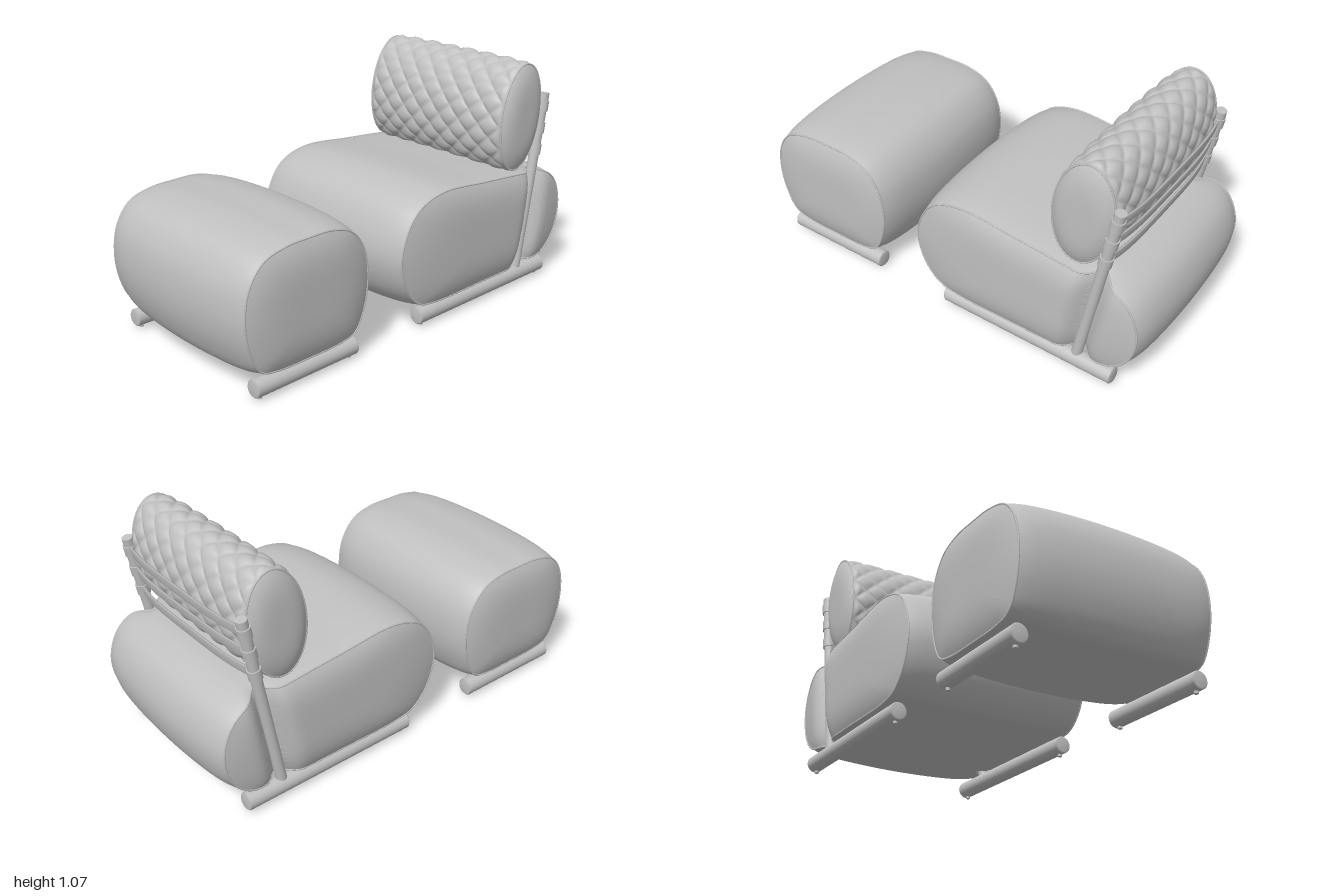
import * as THREE from 'three';

const grey = new THREE.MeshStandardMaterial({ color: 0xc0c0c0 });
grey.name = 'soft grey';

function add(parent, name, geometry) {
  const mesh = new THREE.Mesh(geometry, grey);
  mesh.name = name;
  parent.add(mesh);
  return mesh;
}

// Closed smooth outline in the z/y plane, evenly spaced, as offsets from its centre
function outline(points, count) {
  const curve = new THREE.CatmullRomCurve3(points.map(([z, y]) => new THREE.Vector3(0, y, z)), true, 'centripetal');
  curve.arcLengthDivisions = 800;
  const pts = curve.getSpacedPoints(count).slice(0, count);
  const box = new THREE.Box3().setFromPoints(pts);
  const centre = box.getCenter(new THREE.Vector3());
  return { centre, pts: pts.map(p => p.sub(centre)) };
}

// Skin a stack of rings running towards +x; point(i, j) gives each vertex
function loft(rings, count, point) {
  const pos = [], index = [];
  for (let i = 0; i < rings; i++) {
    for (let j = 0; j < count; j++) {
      pos.push(...point(i, j).toArray());
      if (i === rings - 1) continue;
      const k = (j + 1) % count;
      const a = i * count + j, b = i * count + k;
      index.push(a, a + count, b, b, a + count, b + count);
    }
  }
  const g = new THREE.BufferGeometry();
  g.setAttribute('position', new THREE.Float32BufferAttribute(pos, 3));
  g.setIndex(index);
  g.computeVertexNormals();
  return g;
}

// Padded block: bulging sleeve, two domed side panels and piping along the seams
function cushion(name, { centre, pts }, o) {
  const group = new THREE.Group();
  group.name = name;
  const n = pts.length;
  const warp = o.warp || (p => p);
  const relief = o.relief || (() => 0);
  const at = (x, sz, sy, j, grow = 0) => {
    const p = pts[j];
    const out = new THREE.Vector3(0, p.y * sy, p.z * sz);
    if (grow) out.addScaledVector(out.clone().normalize(), grow);
    return warp(out.add(centre).setX(x));
  };
  const steps = o.steps || 40;
  add(group, name + 'Sleeve', loft(steps + 1, n, (i, j) => {
    const u = -Math.cos(Math.PI * i / steps) * 0.4 + (2 * i / steps - 1) * 0.6;
    const t = Math.abs(u), k = 0.6 * t * t + 0.4 * t ** 8;
    const x = u * o.seam;
    return at(x, 1 - (1 - o.sz) * k, 1 - (1 - o.sy) * k, j, relief(x, j / n, t));
  }));
  const rings = 20;
  for (const side of [1, -1]) {
    const label = side > 0 ? 'Left' : 'Right';
    add(group, name + label + 'Panel', loft(rings + 1, n, (i, j) => {
      const s = Math.max(0.001, 1 - (side > 0 ? i : rings - i) / rings);
      return at(side * (o.seam + o.dome * (1 - s ** 4)), o.sz * s, o.sy * s, j);
    }));
    const path = new THREE.CatmullRomCurve3(pts.map((_, j) => at(side * o.seam, o.sz, o.sy, j)), true);
    add(group, name + label + 'Piping', new THREE.TubeGeometry(path, n, 0.004, 6, true));
  }
  return group;
}

// Cylinder between two points
function rod(parent, name, from, to, radius) {
  const dir = to.clone().sub(from);
  const mesh = add(parent, name, new THREE.CylinderGeometry(radius, radius, dir.length(), 24));
  mesh.position.copy(from).add(to).multiplyScalar(0.5);
  mesh.quaternion.setFromUnitVectors(new THREE.Vector3(0, 1, 0), dir.normalize());
  return mesh;
}

// Floor rail with softened ends and two small glides
function rail(parent, name, x, z0, z1) {
  const r = 0.039, h = z1 - z0;
  const profile = [[0, 0], [r - 0.006, 0], [r, 0.006], [r, h - 0.006], [r - 0.006, h], [0, h]];
  const mesh = add(parent, name, new THREE.LatheGeometry(profile.map(p => new THREE.Vector2(...p)), 32));
  mesh.rotation.x = Math.PI / 2;
  mesh.position.set(x, 0.049, z0);
  for (const z of [z0 + 0.03, z1 - 0.03]) {
    add(parent, name + 'Glide', new THREE.CylinderGeometry(0.01, 0.01, 0.02, 16)).position.set(x, 0.01, z);
  }
}

export function createModel() {
  const model = new THREE.Group();
  model.name = 'loungeChairWithOttoman';

  // Ottoman
  model.add(cushion('ottoman', outline([
    [1, 0.35], [0.975, 0.5], [0.9, 0.6], [0.77, 0.64], [0.645, 0.645], [0.5, 0.64], [0.385, 0.6], [0.31, 0.5],
    [0.285, 0.35], [0.31, 0.2], [0.365, 0.1], [0.45, 0.075], [0.645, 0.07], [0.83, 0.075], [0.92, 0.1], [0.975, 0.2],
  ], 112), { seam: 0.447, dome: 0.033, sz: 0.88, sy: 0.89 }));

  // Seat, pinched on each side where the back posts pass
  const foot = new THREE.Vector3(0, 0.08, -0.68), tip = new THREE.Vector3(0, 0.905, -0.832);
  const postZ = y => foot.z + (tip.z - foot.z) * (y - foot.y) / (tip.y - foot.y);
  const pinch = p => {
    const d = (p.z - postZ(p.y)) / 0.05;
    const edge = THREE.MathUtils.smoothstep(Math.abs(p.x), 0.3, 0.45);
    p.x *= 1 - 0.15 * edge * Math.exp(-d * d);
    if (p.z < postZ(p.y)) p.x *= 1 - 0.02 * edge;
    return p;
  };
  model.add(cushion('seat', outline([
    [0.17, 0.34], [0.143, 0.47], [0.07, 0.575], [-0.08, 0.63], [-0.4, 0.608], [-0.7, 0.578], [-0.85, 0.555],
    [-0.95, 0.485], [-1, 0.34], [-0.965, 0.18], [-0.87, 0.09], [-0.7, 0.075], [-0.4, 0.072], [-0.05, 0.075],
    [0.05, 0.1], [0.13, 0.19],
  ], 180), { seam: 0.447, dome: 0.033, sz: 0.93, sy: 0.9, warp: pinch }));

  // Quilted back cushion, leaning backwards
  const lean = 0.19, oval = [];
  for (let i = 0; i < 24; i++) {
    const a = i / 24 * Math.PI * 2;
    const d = 0.158 * Math.cos(a), h = 0.25 * Math.sin(a);
    oval.push([-0.67 + d * Math.cos(lean) - h * Math.sin(lean), 0.816 + h * Math.cos(lean) + d * Math.sin(lean)]);
  }
  const quilt = (x, v, t) => {
    const a = x / 0.115, b = v * 12;
    const puff = Math.sqrt(Math.abs(Math.sin(Math.PI * (a + b)) * Math.sin(Math.PI * (a - b))));
    return (0.014 * puff - 0.003) * (1 - THREE.MathUtils.smoothstep(t, 0.93, 1));
  };
  model.add(cushion('backCushion', outline(oval, 192),
    { seam: 0.41, dome: 0.033, sz: 0.86, sy: 0.985, steps: 130, relief: quilt }));

  // Back frame: posts with collars, joined by bowed straps
  const frame = new THREE.Group();
  frame.name = 'backFrame';
  model.add(frame);
  const postX = 0.413, strapHeights = [0.845, 0.745, 0.645];
  const onPost = (side, y) => new THREE.Vector3(side * postX, y, postZ(y));
  for (const side of [1, -1]) {
    rod(frame, 'backPost', onPost(side, foot.y), onPost(side, tip.y), 0.024);
    for (const y of strapHeights) rod(frame, 'strapCollar', onPost(side, y - 0.024), onPost(side, y + 0.024), 0.029);
  }
  for (const y of strapHeights) {
    const section = [[0.006, 0], [0.006, 0.02], [0, 0.023], [-0.006, 0.02], [-0.006, -0.02], [0, -0.023], [0.006, -0.02]];
    add(frame, 'backStrap', loft(25, section.length, (i, j) => {
      const u = i / 12 - 1;
      const [dz, dy] = section[j];
      return new THREE.Vector3(u * postX, y + dy, postZ(y + dy) + dz - 0.03 * (1 - u ** 4));
    }));
  }

  // Floor rails
  for (const side of [1, -1]) {
    rail(model, 'ottomanRail', side * 0.413, 0.375, 0.905);
    rail(model, 'seatRail', side * 0.413, -0.86, 0);
  }
  return model;
}
